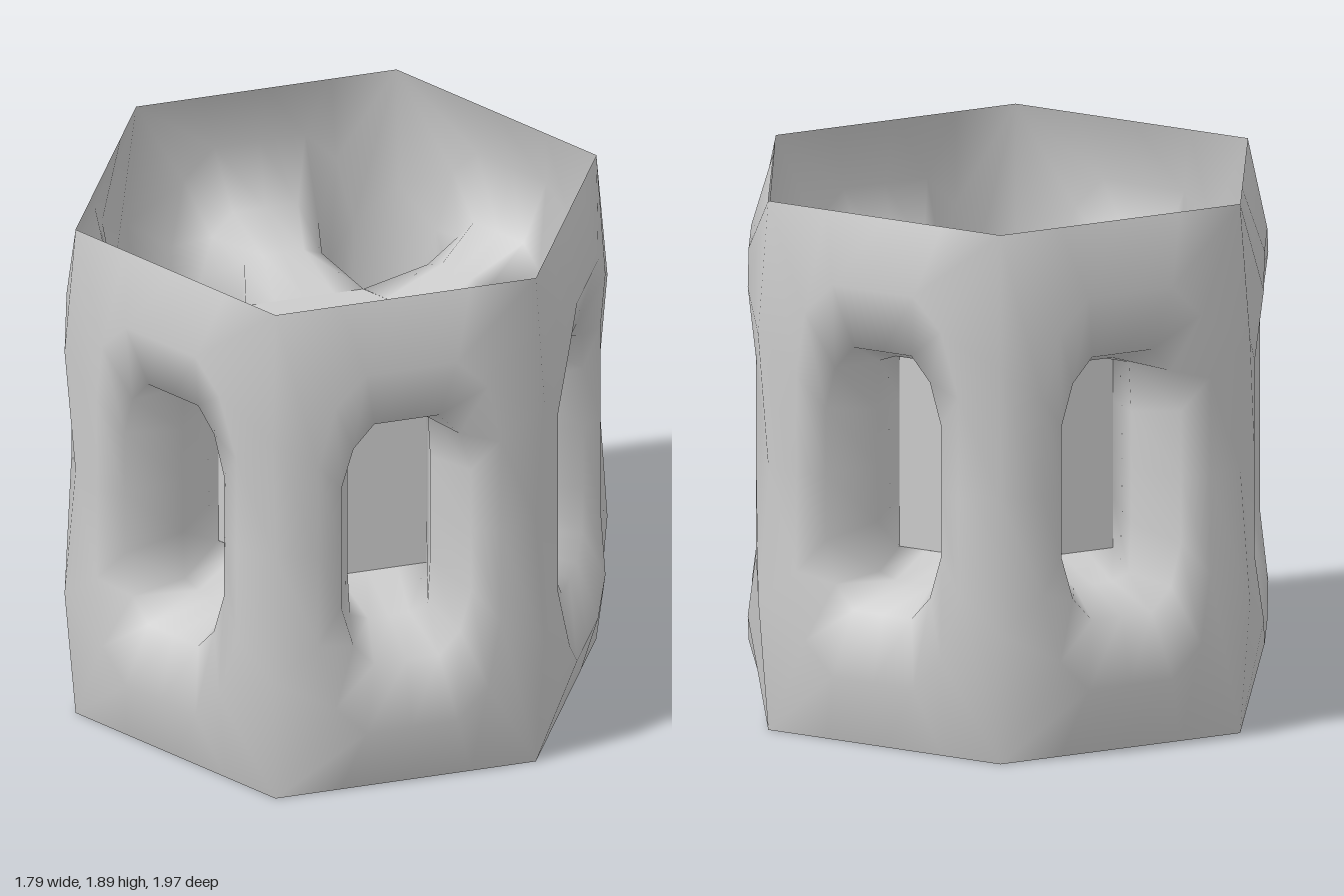
import * as THREE from 'three';
import { mergeVertices } from 'three/addons/utils/BufferGeometryUtils.js';

const HEIGHT = 1.89, MID = HEIGHT / 2, COS30 = Math.cos(Math.PI / 6);

// Unit square perimeter, counter-clockwise, 16 points
function squarePerimeter() {
  const steps = [-1, -0.5, 0, 0.5];
  return [
    ...steps.map(s => [s, -1]),
    ...steps.map(s => [1, s]),
    ...steps.map(s => [-s, 1]),
    ...steps.map(s => [-1, -s]),
  ];
}

// Rings from the edge of a hexagon side inward to the end of its pocket:
// half width, half height, distance from the axis (sides / top and bottom), corner rounding
const RINGS = [
  { w: 0.33, h: 0.70, side: 0.865, cap: 0.895, round: 0.16 },
  { w: 0.235, h: 0.47, side: 0.825, cap: 0.83, round: 0.18 },
  { w: 0.15, h: 0.40, side: 0.62, cap: 0.62, round: 0.06 },
  { w: 0.2136, h: 0.35, side: 0.37, cap: 0.37, round: 0 },
];

// Point of a ring as [lateral, y, distance from axis]
function ringPoint(ring, [u, v]) {
  const corner = Math.abs(u * v) === 1 ? 1 - ring.round : 1;
  const onCap = Math.abs(v) === 1;
  return [u * ring.w * corner, MID + v * ring.h * corner, onCap ? ring.cap : ring.side];
}

// Outer border of a side; the upright corners swell slightly at slot ends
function borderPoint([u, v]) {
  const r = Math.abs(u) === 1 && Math.abs(v) === 0.5 ? 0.985 : 0.945;
  return [u * r / 2, MID + v * MID, r * COS30];
}

function skinGeometry() {
  const perimeter = squarePerimeter(), n = perimeter.length;
  const loops = [perimeter.map(borderPoint), ...RINGS.map(r => perimeter.map(p => ringPoint(r, p)))];
  const positions = [], index = [];
  for (let k = 0; k < 6; k++) {
    const c = Math.cos(k * Math.PI / 3), s = Math.sin(k * Math.PI / 3);
    const base = positions.length / 3;
    for (const loop of loops)
      for (const [l, y, a] of loop) positions.push(c * a + s * l, y, s * a - c * l);
    for (let i = 0; i < loops.length - 1; i++)
      for (let j = 0; j < n; j++) {
        const a = base + i * n + j, b = base + i * n + (j + 1) % n;
        index.push(a, b, b + n, a, b + n, a + n);
      }
  }
  let geometry = new THREE.BufferGeometry();
  geometry.setAttribute('position', new THREE.Float32BufferAttribute(positions, 3));
  geometry.setIndex(index);
  // Weld neighbouring sides so shading flows around the corners
  geometry = mergeVertices(geometry, 1e-4);
  geometry.computeVertexNormals();
  return geometry;
}

export function createModel() {
  const group = new THREE.Group();
  group.name = 'slottedHexagonalTube';

  // Thin open skin with six slots folded inward as pockets
  const skin = new THREE.Mesh(
    skinGeometry(),
    new THREE.MeshStandardMaterial({ color: 0xcccccc, side: THREE.DoubleSide })
  );
  skin.name = 'skinWithPockets';
  group.add(skin);

  // Hexagonal core closing the pocket ends
  const core = new THREE.Mesh(
    new THREE.CylinderGeometry(0.4272, 0.4272, 0.7, 6),
    new THREE.MeshStandardMaterial({ color: 0xcccccc, flatShading: true })
  );
  core.name = 'hexagonalCore';
  core.position.y = MID;
  group.add(core);

  return group;
}
